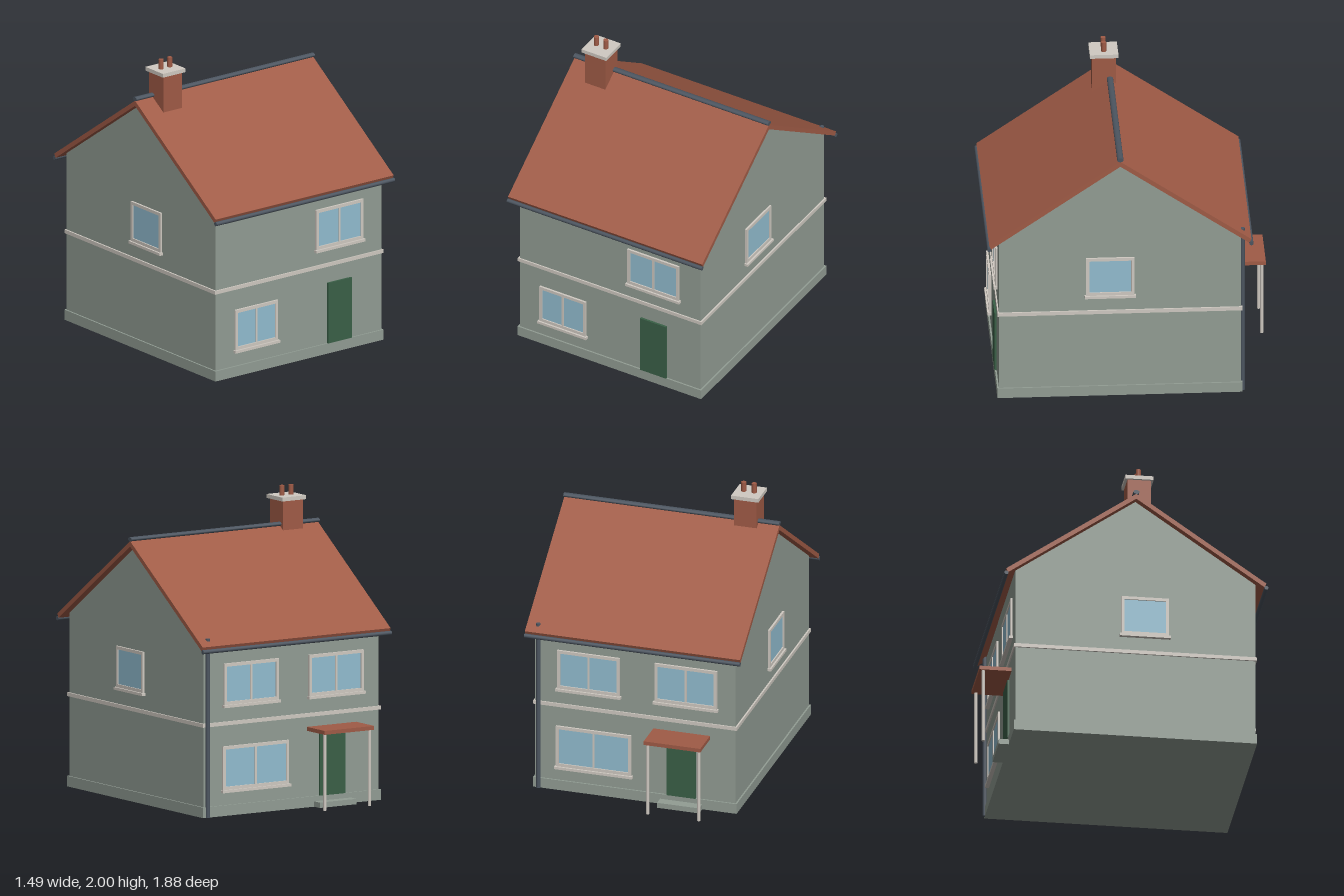
import * as THREE from 'three';

const mat = (name, color) => {
  const m = new THREE.MeshStandardMaterial({ color });
  m.name = name;
  return m;
};

export function createModel() {
  const render = mat('sage render', 0x929d94);
  const tile = mat('terracotta tile', 0xa05b46);
  const trim = mat('stone trim', 0xd0cac2);
  const glass = mat('pale blue glass', 0x92bdd0);
  const green = mat('door green', 0x3a6047);
  const slate = mat('slate grey', 0x4c5560);

  const house = new THREE.Group();
  house.name = 'house';
  const CZ = 0.064;          // middle of the house, front to back
  const HX = 0.69, HZ = 0.796; // half width and half depth of the walls

  const add = (parent, name, geo, material, x = 0, y = 0, z = 0) => {
    const m = new THREE.Mesh(geo, material);
    m.name = name;
    m.position.set(x, y, z);
    parent.add(m);
    return m;
  };
  const box = (parent, name, material, w, h, d, x, y, z) =>
    add(parent, name, new THREE.BoxGeometry(w, h, d), material, x, y, z);
  const post = (parent, name, material, r, y0, y1, x, z) =>
    add(parent, name, new THREE.CylinderGeometry(r, r, y1 - y0, 16), material, x, (y0 + y1) / 2, z);
  // extrudes a (z, y) profile along x
  const alongX = (name, pts, length, material) => {
    const shape = new THREE.Shape(pts.map(p => new THREE.Vector2(p[0], p[1])));
    const geo = new THREE.ExtrudeGeometry(shape, { depth: length, bevelEnabled: false });
    geo.translate(0, 0, -length / 2).rotateY(Math.PI / 2);
    return add(house, name, geo, material, 0, 0, CZ);
  };

  // Walls with gables, plinth and string course
  const slope = 0.69, peak = 1.74, thick = 0.036;
  const eave = peak - thick - slope * HZ;
  alongX('walls', [[-HZ, 0.02], [HZ, 0.02], [HZ, eave], [0, peak - thick], [-HZ, eave]], HX * 2, render);
  box(house, 'plinth', render, 1.402, 0.07, HZ * 2 + 0.022, 0, 0.035, CZ);
  box(house, 'stringCourse', trim, 1.402, 0.025, HZ * 2 + 0.018, 0, 0.613, CZ);

  // Roof, with eaves cut square to the slope
  const R = 0.862, drop = slope * R, cut = 0.012;
  alongX('roof', [
    [0, peak], [-R, peak - drop],
    [-R + cut, peak - drop - thick + slope * cut], [0, peak - thick],
    [R - cut, peak - drop - thick + slope * cut], [R, peak - drop],
  ], 1.482, tile);

  // Ridge and gutters
  const rod = (name, r, y, z) => {
    const geo = new THREE.CylinderGeometry(r, r, 1.486, 16).rotateZ(Math.PI / 2);
    return add(house, name, geo, slate, 0, y, z);
  };
  rod('ridge', 0.014, 1.752, CZ).scale.z = 1.5;
  for (const s of [-1, 1]) rod(s > 0 ? 'frontGutter' : 'backGutter', 0.014, 1.114, CZ + s * R);
  post(house, 'downpipe', slate, 0.015, 0, 1.19, 0.665, -0.744);

  // Chimney
  const chimney = new THREE.Group();
  chimney.name = 'chimney';
  chimney.position.set(-0.518, 0, 0.103);
  house.add(chimney);
  box(chimney, 'stack', tile, 0.156, 0.36, 0.156, 0, 1.73, 0);
  box(chimney, 'cap', trim, 0.188, 0.026, 0.188, 0, 1.921, 0);
  for (const s of [-1, 1]) post(chimney, 'pot', tile, 0.017, 1.93, 2.0, s * 0.036, 0);

  // Window facing local +z, its frame foot at local y = 0
  const makeWindow = (name, w, h, panes, x, y, z, turn) => {
    const g = new THREE.Group(), b = 0.021, d = 0.014;
    g.name = name;
    box(g, 'glass', glass, w - b, h - b, 0.006, 0, h / 2, 0.003);
    for (const s of [-1, 1]) {
      box(g, 'jamb', trim, b, h, d, s * (w - b) / 2, h / 2, d / 2);
      box(g, 'rail', trim, w - 2 * b, b, d, 0, h / 2 + s * (h - b) / 2, d / 2);
    }
    if (panes > 1) box(g, 'mullion', trim, 0.014, h - 2 * b, 0.012, 0, h / 2, 0.006);
    box(g, 'sill', trim, w + 0.018, 0.018, 0.026, 0, -0.009, 0.013);
    g.position.set(x, y, z);
    g.rotation.y = turn;
    house.add(g);
  };
  const FRONT = CZ + HZ, BACK = CZ - HZ;
  makeWindow('frontUpperWindow', 0.393, 0.275, 2, 0.334, 0.737, FRONT, 0);
  makeWindow('frontLowerWindow', 0.354, 0.277, 2, -0.357, 0.182, FRONT, 0);
  makeWindow('backUpperLeftWindow', 0.43, 0.275, 2, 0.32, 0.737, BACK, Math.PI);
  makeWindow('backUpperRightWindow', 0.43, 0.275, 2, -0.35, 0.737, BACK, Math.PI);
  makeWindow('backLowerWindow', 0.52, 0.29, 2, 0.285, 0.172, BACK, Math.PI);
  for (const s of [-1, 1])
    makeWindow(s > 0 ? 'leftWindow' : 'rightWindow', 0.318, 0.273, 1, s * HX, 0.738, 0.128, s * Math.PI / 2);

  // Doors
  box(house, 'frontDoor', green, 0.198, 0.418, 0.03, 0.336, 0.279, FRONT);
  box(house, 'backDoor', green, 0.2, 0.418, 0.03, -0.318, 0.279, BACK);

  // Back porch with two posts and a step
  const porch = new THREE.Group();
  porch.name = 'backPorch';
  porch.position.x = -0.319;
  house.add(porch);
  box(porch, 'porchRoof', tile, 0.39, 0.026, 0.212, 0, 0.521, -0.837);
  for (const s of [-1, 1]) post(porch, 'porchPost', trim, 0.011, 0, 0.51, s * 0.176, -0.917);
  box(porch, 'step', render, 0.29, 0.036, 0.08, 0, 0.018, -0.77);

  return house;
}
